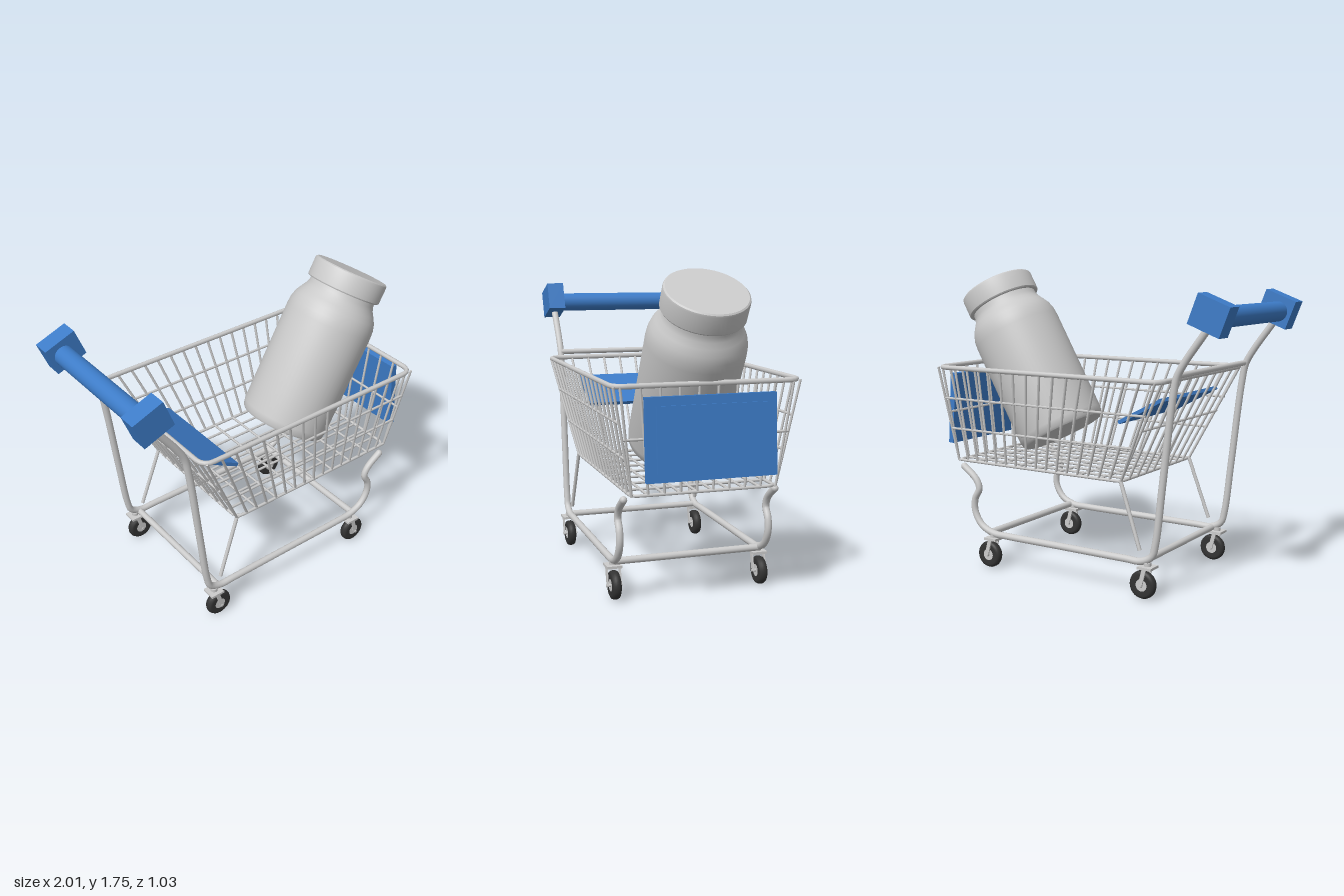
import * as THREE from 'three';
import { toCreasedNormals, mergeGeometries } from 'three/addons/utils/BufferGeometryUtils.js';

const V = (x, y, z) => new THREE.Vector3(x, y, z);

export function createModel() {
  const model = new THREE.Group();
  const material = (name, color) => {
    const m = new THREE.MeshStandardMaterial({ color });
    m.name = name;
    return m;
  };
  const metal = material('light metal', 0xcccccc);
  const white = material('jar grey', 0xc9c9c9);
  const blue = material('blue plastic', 0x3d7cc8);
  const rubber = material('black rubber', 0x333333);

  const add = (name, geometry, mat, parent = model) => {
    const mesh = new THREE.Mesh(geometry, mat);
    mesh.name = name;
    parent.add(mesh);
    return mesh;
  };

  // Straight round bar between two points
  const rod = (a, b, r, sides = 8) => {
    const d = b.clone().sub(a);
    const g = new THREE.CylinderGeometry(r, r, d.length(), sides);
    g.applyQuaternion(new THREE.Quaternion().setFromUnitVectors(V(0, 1, 0), d.normalize()));
    const mid = a.clone().add(b).multiplyScalar(0.5);
    return g.translate(mid.x, mid.y, mid.z);
  };

  // Closed rounded rectangle bent from wire, at fraction t of the basket height
  const edge = (t) => ({
    y: 0.62 + 0.565 * t,
    back: -0.335 - 0.29 * t,
    front: 0.805 + 0.05 * t,
    half: 0.395 + 0.107 * t,
  });
  const loop = (t, corner, r) => {
    const { y, back, front, half } = edge(t);
    const pts = [V(back, y, -half), V(front, y, -half), V(front, y, half), V(back, y, half)];
    const path = new THREE.CurvePath();
    let last = null, first = null;
    pts.forEach((p, i) => {
      const toward = (q) => p.clone().add(q.clone().sub(p).setLength(corner));
      const a = toward(pts[(i + 3) % 4]), b = toward(pts[(i + 1) % 4]);
      if (last) path.add(new THREE.LineCurve3(last, a));
      else first = a;
      path.add(new THREE.QuadraticBezierCurve3(a, p, b));
      last = b;
    });
    path.add(new THREE.LineCurve3(last, first));
    return new THREE.TubeGeometry(path, 200, r, 8, true);
  };

  // Wire basket: rims
  const basket = new THREE.Group();
  basket.name = 'basket';
  model.add(basket);
  add('basketTopRim', loop(1, 0.07, 0.014), metal, basket);
  add('basketBottomRim', loop(0, 0.05, 0.009), metal, basket);

  // Wire basket: sides, ends and floor
  const lo = edge(0), hi = edge(1), wire = 0.0075;
  const mix = THREE.MathUtils.lerp;
  const sides = [], ends = [], floor = [];
  for (const s of [-1, 1]) {
    for (let i = 0; i <= 16; i++) {
      const u = i / 16;
      sides.push(rod(
        V(mix(lo.back, lo.front, u), lo.y, s * lo.half),
        V(mix(hi.back + 0.02, hi.front, u), hi.y, s * hi.half), wire, 6));
    }
    for (const t of [0.345, 0.672]) {
      const e = edge(t);
      sides.push(rod(V(e.back, e.y, s * e.half), V(e.front, e.y, s * e.half), wire, 6));
    }
  }
  for (let i = 0; i <= 9; i++) {
    const u = i / 4.5 - 1;
    for (const k of ['back', 'front']) {
      ends.push(rod(V(lo[k], lo.y, u * lo.half), V(hi[k], hi.y, u * hi.half * 0.93), wire, 6));
    }
    floor.push(rod(V(lo.back, lo.y, u * lo.half), V(lo.front, lo.y, u * lo.half), wire, 6));
  }
  const middle = edge(0.52);
  for (const k of ['back', 'front']) {
    ends.push(rod(V(middle[k], middle.y, -middle.half), V(middle[k], middle.y, middle.half), wire, 6));
  }
  for (let i = 1; i < 8; i++) {
    const x = mix(lo.back, lo.front, i / 8);
    floor.push(rod(V(x, lo.y, -lo.half), V(x, lo.y, lo.half), wire, 6));
  }
  add('basketSideWires', mergeGeometries(sides), metal, basket);
  add('basketEndWires', mergeGeometries(ends), metal, basket);
  add('basketFloorWires', mergeGeometries(floor), metal, basket);

  // Bent side frames with basket struts and handle ends
  const framePoints = [
    [-0.88, 1.5], [-0.84, 1.44], [-0.73, 1.29], [-0.685, 1.21], [-0.662, 1.1], [-0.605, 0.62],
    [-0.567, 0.31], [-0.545, 0.24], [-0.48, 0.206], [-0.38, 0.205], [0.1, 0.205], [0.43, 0.205],
    [0.53, 0.209], [0.62, 0.25], [0.668, 0.33], [0.665, 0.405], [0.633, 0.465],
    [0.655, 0.52], [0.745, 0.59],
  ];
  for (const s of [-1, 1]) {
    const side = new THREE.Group();
    side.name = s > 0 ? 'leftFrame' : 'rightFrame';
    model.add(side);
    const curve = new THREE.CatmullRomCurve3(framePoints.map(([x, y]) => V(x, y, s * 0.42)));
    add('frameTube', new THREE.TubeGeometry(curve, 140, 0.02, 12), metal, side);
    add('tubeEnd', new THREE.SphereGeometry(0.02, 12, 8), metal, side).position.set(0.745, 0.59, s * 0.42);
    add('basketStrut', rod(V(-0.335, 0.62, s * 0.395), V(-0.465, 0.26, s * 0.41), 0.011), metal, side);
    const block = add('handleBlock', new THREE.BoxGeometry(0.19, 0.166, 0.102), blue, side);
    block.position.set(-0.882, 1.53, s * 0.42);
    block.rotation.z = 0.37;
  }

  // Cross bars and push handle
  const cross = (x, y, r, half, sidesCount = 12) => rod(V(x, y, -half), V(x, y, half), r, sidesCount);
  add('upperCrossBar', cross(-0.68, 1.215, 0.016, 0.42), metal);
  add('rearCrossBar', cross(-0.49, 0.205, 0.019, 0.42), metal);
  add('frontCrossBar', cross(0.555, 0.21, 0.02, 0.42), metal);
  add('pushHandle', cross(-0.895, 1.518, 0.056, 0.4, 28), blue);

  // Caster wheels
  const tyreProfile = [
    [0.034, -0.022], [0.06, -0.025], [0.072, -0.02], [0.078, -0.008],
    [0.078, 0.008], [0.072, 0.02], [0.06, 0.025], [0.034, 0.022],
  ].map(([r, y]) => new THREE.Vector2(r, y));
  const tyre = new THREE.LatheGeometry(tyreProfile, 32).rotateX(Math.PI / 2);
  for (const x of [-0.493, 0.557]) {
    for (const z of [-0.42, 0.42]) {
      const caster = new THREE.Group();
      caster.name = 'caster';
      caster.position.set(x, 0.079, z);
      model.add(caster);
      add('tyre', tyre, rubber, caster);
      add('hub', rod(V(0, 0, -0.02), V(0, 0, 0.02), 0.036, 20), metal, caster);
      add('axle', rod(V(0, 0, -0.044), V(0, 0, 0.044), 0.009), metal, caster);
      add('forkTop', new THREE.BoxGeometry(0.085, 0.014, 0.084), metal, caster).position.set(-0.027, 0.1, 0);
      add('swivel', rod(V(-0.027, 0.1, 0), V(-0.027, 0.126, 0), 0.02, 12), metal, caster);
      for (const s of [-1, 1]) {
        const leg = add('forkLeg', new THREE.BoxGeometry(0.024, 0.108, 0.008), metal, caster);
        leg.position.set(-0.013, 0.048, s * 0.036);
        leg.rotation.z = 0.26;
      }
    }
  }

  // Child seat flap
  const flap = add('seatFlap', new THREE.BoxGeometry(0.297, 0.02, 0.67), blue);
  flap.position.set(-0.412, 1.0, 0);
  flap.rotation.z = -0.49;

  // Front panel with raised plate
  const panel = new THREE.Group();
  panel.name = 'frontPanel';
  panel.position.set(0.893, 0.919, 0);
  panel.rotation.z = 0.064;
  model.add(panel);
  add('panelBoard', new THREE.BoxGeometry(0.034, 0.427, 0.7), blue, panel);
  add('panelPlate', new THREE.BoxGeometry(0.014, 0.335, 0.595), blue, panel).position.x = 0.022;

  // Tilted jar with lid
  const jar = new THREE.Group();
  jar.name = 'jar';
  jar.position.set(0.315, 0.777, 0);
  jar.rotation.z = -Math.PI / 6;
  model.add(jar);
  const turned = (pts) => toCreasedNormals(
    new THREE.LatheGeometry(pts.map(([r, y]) => new THREE.Vector2(r, y)), 64), 0.6);
  add('jarBody', turned([
    [0, 0], [0.25, 0], [0.26, 0.012], [0.267, 0.05], [0.268, 0.68], [0.264, 0.725], [0.252, 0.765],
    [0.232, 0.8], [0.213, 0.83], [0.204, 0.855], [0.202, 0.9],
  ]), white, jar);
  add('jarLid', turned([
    [0, 0.878], [0.221, 0.878], [0.226, 0.885], [0.226, 0.985], [0.223, 0.994], [0.215, 1], [0, 1],
  ]), white, jar);

  return model;
}
